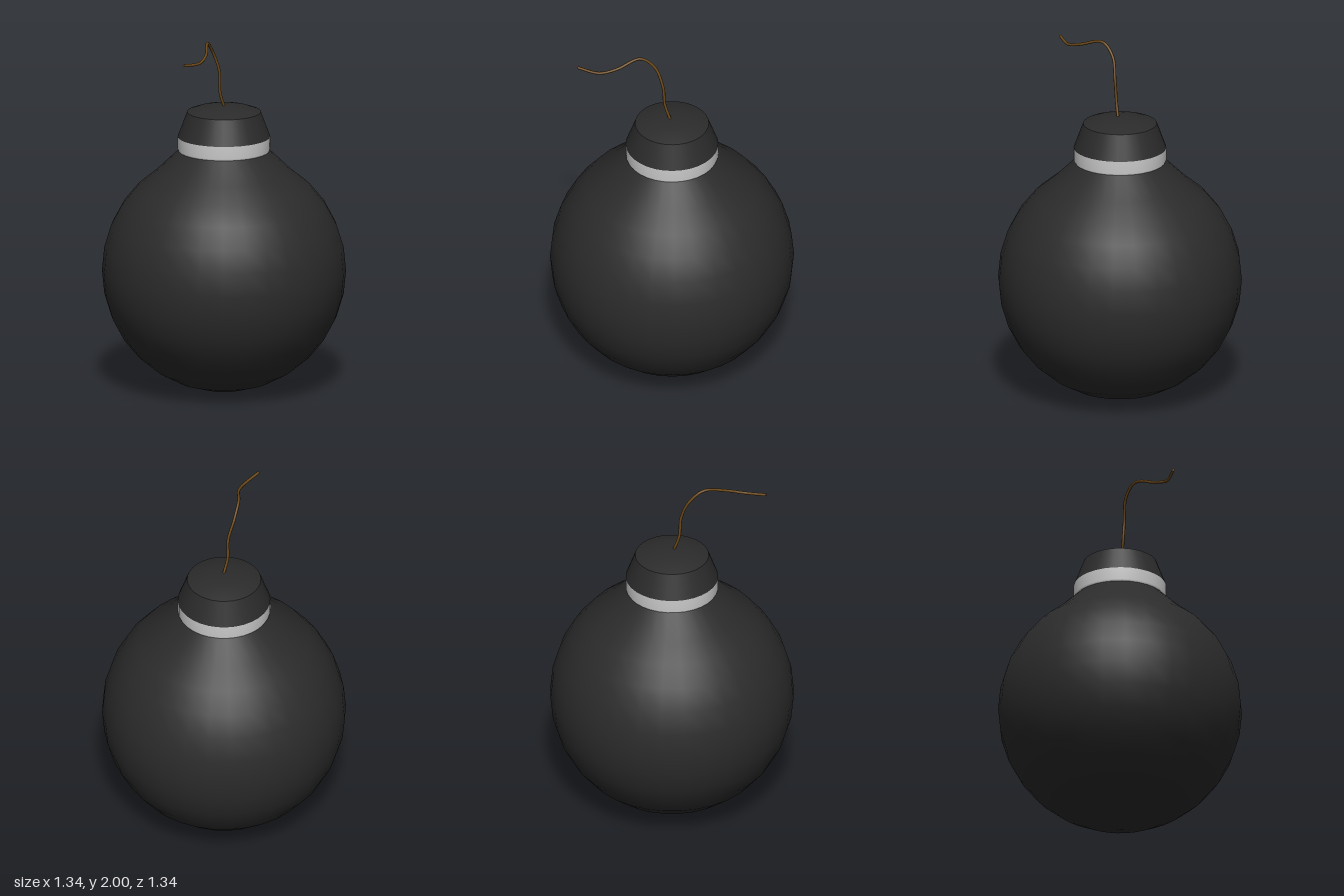
import * as THREE from 'three';

const SEGMENTS = 32;
const black = new THREE.MeshStandardMaterial({ color: 0x2b2b2b });
const grey = new THREE.MeshStandardMaterial({ color: 0xcccccc });
const brown = new THREE.MeshStandardMaterial({ color: 0x6b4818 });

// Solid of revolution from [radius, y] pairs, listed bottom to top
function turned(name, profile, material) {
  const points = profile.map(([r, y]) => new THREE.Vector2(r, y));
  const mesh = new THREE.Mesh(new THREE.LatheGeometry(points, SEGMENTS), material);
  mesh.name = name;
  return mesh;
}

export function createModel() {
  const group = new THREE.Group();
  group.name = 'roundBomb';

  // Round body: sphere rings from the base up to the shoulder, then the neck
  const radius = 0.671, centre = 0.674;
  const body = [];
  for (let i = 0; i <= 13; i++) {
    const a = (i * Math.PI) / 16;
    body.push([radius * Math.sin(a), centre - radius * Math.cos(a)]);
  }
  body.push([0.25, 1.35]);
  group.add(turned('body', body, black));

  // Pale collar around the neck
  group.add(turned('collar', [[0.25, 1.35], [0.255, 1.36], [0.255, 1.43]], grey));

  // Tapered cap with a shallow domed top
  group.add(turned('capSide', [[0.255, 1.43], [0.203, 1.57]], black));
  group.add(turned('capTop', [[0.203, 1.57], [0.15, 1.589], [0.1, 1.6], [0.05, 1.606], [0, 1.608]], black));

  // Curling fuse
  const path = new THREE.CatmullRomCurve3([
    [0, 1.59, 0.01], [-0.033, 1.69, 0.022], [-0.04, 1.81, 0.03],
    [-0.085, 1.925, 0.045], [-0.14, 1.991, 0.105], [-0.2, 1.955, 0.23],
    [-0.265, 1.932, 0.3], [-0.38, 1.939, 0.352],
  ].map((p) => new THREE.Vector3(...p)));
  const fuse = new THREE.Mesh(new THREE.TubeGeometry(path, 48, 0.008, 8), brown);
  fuse.name = 'fuse';
  group.add(fuse);

  // Cut end of the fuse
  const tip = new THREE.Mesh(new THREE.CircleGeometry(0.008, 8), brown);
  tip.name = 'fuseTip';
  tip.position.copy(path.getPoint(1));
  tip.quaternion.setFromUnitVectors(new THREE.Vector3(0, 0, 1), path.getTangent(1));
  group.add(tip);

  return group;
}
